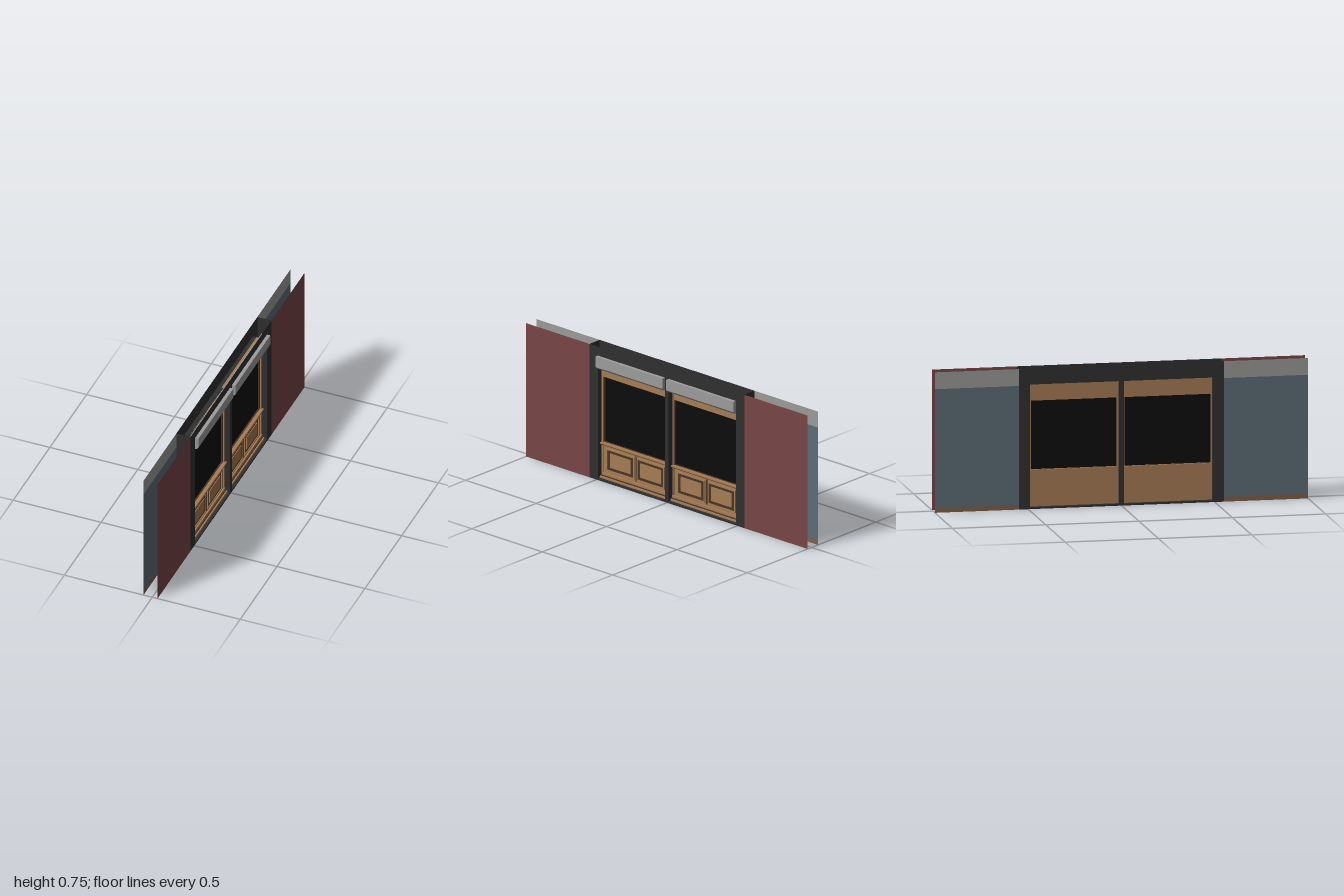
import * as THREE from 'three';

const paint = (name, color, side = THREE.FrontSide) => {
  const m = new THREE.MeshStandardMaterial({ color, side });
  m.name = name;
  return m;
};

export function createModel() {
  const group = new THREE.Group();
  group.name = 'shopfrontWall';
  const D = THREE.DoubleSide;
  const red = paint('outerWallRed', 0x784546, D);
  const blue = paint('innerWallBlue', 0x5c6c77, D);
  const pale = paint('innerWallGrey', 0x9b9c99, D);
  const skirt = paint('skirtingBrown', 0x80604a, D);
  const dark = paint('frameCharcoal', 0x303030, D);
  const steel = paint('shutterGrey', 0x9c9c9c);
  const wood = paint('wood', 0xa67c54);
  const groove = paint('darkWood', 0x4a3526);
  const glass = paint('blackGlass', 0x0c0c0c);

  const add = (name, geo, mat, parent = group) => {
    const mesh = new THREE.Mesh(geo, mat);
    mesh.name = name;
    parent.add(mesh);
    return mesh;
  };
  // Box given by its limits on each axis
  const box = (parent, name, mat, x0, x1, y0, y1, z0, z1) =>
    add(name, new THREE.BoxGeometry(x1 - x0, y1 - y0, z1 - z0), mat, parent)
      .position.set((x0 + x1) / 2, (y0 + y1) / 2, (z0 + z1) / 2);
  // Rectangle in the z-y plane
  const rect = (Type, z0, z1, y0, y1) => {
    const p = new Type();
    p.moveTo(z0, y0);
    p.lineTo(z1, y0);
    p.lineTo(z1, y1);
    p.lineTo(z0, y1);
    p.closePath();
    return p;
  };
  // Upright sheet at a given x, with optional rectangular holes
  const sheet = (name, mat, x, z0, z1, y0, y1, holes = []) => {
    const s = rect(THREE.Shape, z0, z1, y0, y1);
    s.holes = holes.map(h => rect(THREE.Path, ...h));
    add(name, new THREE.ShapeGeometry(s).rotateY(-Math.PI / 2).translate(x, 0, 0), mat);
  };
  // Level sheet at a given y
  const shelf = (name, x0, x1, y, z0, z1) =>
    add(name, new THREE.PlaneGeometry(x1 - x0, z1 - z0).rotateX(-Math.PI / 2)
      .translate((x0 + x1) / 2, y, (z0 + z1) / 2), dark);

  const BACK = -0.05, FRONT = 0.03, TOP = 0.75;
  const END = 0.55, OUT = 0.49, IN = 0.013, SILL = 0.01, HEAD = 0.665;

  // Side walls: single sheets outside and inside
  for (const s of [-1, 1]) {
    const z0 = s > 0 ? END : -1, z1 = s > 0 ? 1 : -END;
    sheet('outerWall', red, FRONT, z0, z1, 0, TOP);
    sheet('innerWallSkirting', skirt, BACK, z0, z1, 0, 0.025);
    sheet('innerWall', blue, BACK, z0, z1, 0.025, 0.66);
    sheet('innerWallUpper', pale, BACK, z0, z1, 0.66, TOP);
  }

  // Hollow frame: front and back sheets, ends, jambs, sill and heads
  const holes = [[-OUT, -IN, SILL, HEAD], [IN, OUT, SILL, HEAD]];
  sheet('frameFront', dark, FRONT, -END, END, 0, TOP, holes);
  sheet('frameBack', dark, BACK, -END, END, 0, TOP, holes);
  for (const z of [-END, END])
    add('frameEnd', new THREE.PlaneGeometry(FRONT - BACK, TOP)
      .translate((FRONT + BACK) / 2, TOP / 2, z), dark);
  for (const z of [-OUT, -IN, IN, OUT])
    add('jamb', new THREE.PlaneGeometry(FRONT - BACK, HEAD - SILL)
      .translate((FRONT + BACK) / 2, (HEAD + SILL) / 2, z), dark);
  shelf('sill', BACK, FRONT, SILL, -OUT, OUT);
  shelf('head', BACK, 0, HEAD, -OUT, OUT);

  // Shutter box section, chamfered at its lower front edge
  const section = new THREE.Shape([[0, 0.628], [0.036, 0.628], [0.049, 0.641], [0.049, 0.7], [0, 0.7]]
    .map(p => new THREE.Vector2(...p)));

  // Rectangular moulding ring standing out from x0 to x1
  const ring = (parent, name, mat, x0, x1, z0, z1, y0, y1, w) => {
    const s = rect(THREE.Shape, z0, z1, y0, y1);
    s.holes.push(rect(THREE.Path, z0 + w, z1 - w, y0 + w, y1 - w));
    const geo = new THREE.ExtrudeGeometry(s, { depth: x1 - x0, bevelEnabled: false });
    add(name, geo.rotateY(-Math.PI / 2).translate(x1, 0, 0), mat, parent);
  };

  // Two matching windows
  for (const s of [-1, 1]) {
    const bay = new THREE.Group();
    bay.name = s > 0 ? 'leftWindowBay' : 'rightWindowBay';
    bay.position.z = s * (OUT + IN) / 2;
    group.add(bay);
    const h = (OUT - IN) / 2;

    const shutter = new THREE.ExtrudeGeometry(section, { depth: 2 * h, bevelEnabled: false });
    add('shutterBox', shutter.translate(0, 0, -h), steel, bay);

    // Glass and its wooden surround
    box(bay, 'glass', glass, -0.022, -0.016, 0.2, 0.58, -h + 0.008, h - 0.008);
    box(bay, 'topRail', wood, -0.03, -0.002, 0.575, HEAD, -h, h);
    for (const e of [-1, 1]) {
      const z = e * (h - 0.004);
      box(bay, 'stile', wood, -0.03, 0, SILL, HEAD, z - 0.004, z + 0.004);
    }
    ring(bay, 'glazingBead', groove, -0.016, -0.008, -h + 0.008, h - 0.008, 0.207, 0.575, 0.003);

    // Lower panelling with ledge and stepped base
    box(bay, 'lowerPanel', wood, -0.03, -0.006, SILL, 0.205, -h, h);
    box(bay, 'ledge', wood, -0.026, 0.012, 0.2, 0.208, -h, h);
    box(bay, 'ledgeMoulding', groove, -0.006, 0.006, 0.194, 0.2, -h, h);
    box(bay, 'baseStep', wood, -0.006, 0.016, SILL, 0.02, -h, h);
    box(bay, 'baseMoulding', groove, -0.006, 0.008, 0.02, 0.025, -h, h);
    box(bay, 'baseRail', wood, -0.006, 0.003, 0.025, 0.038, -h, h);
    box(bay, 'centreBatten', groove, -0.006, -0.003, 0.045, 0.185, -0.003, 0.003);
    for (const c of [-0.108, 0.108]) {
      box(bay, 'panelGroove', groove, -0.006, -0.004, 0.058, 0.172, c - 0.092, c + 0.092);
      ring(bay, 'panelMoulding', wood, -0.006, 0.001, c - 0.098, c + 0.098, 0.052, 0.178, 0.007);
      box(bay, 'raisedPanel', wood, -0.006, 0, 0.076, 0.155, c - 0.073, c + 0.073);
    }
  }
  return group;
}
